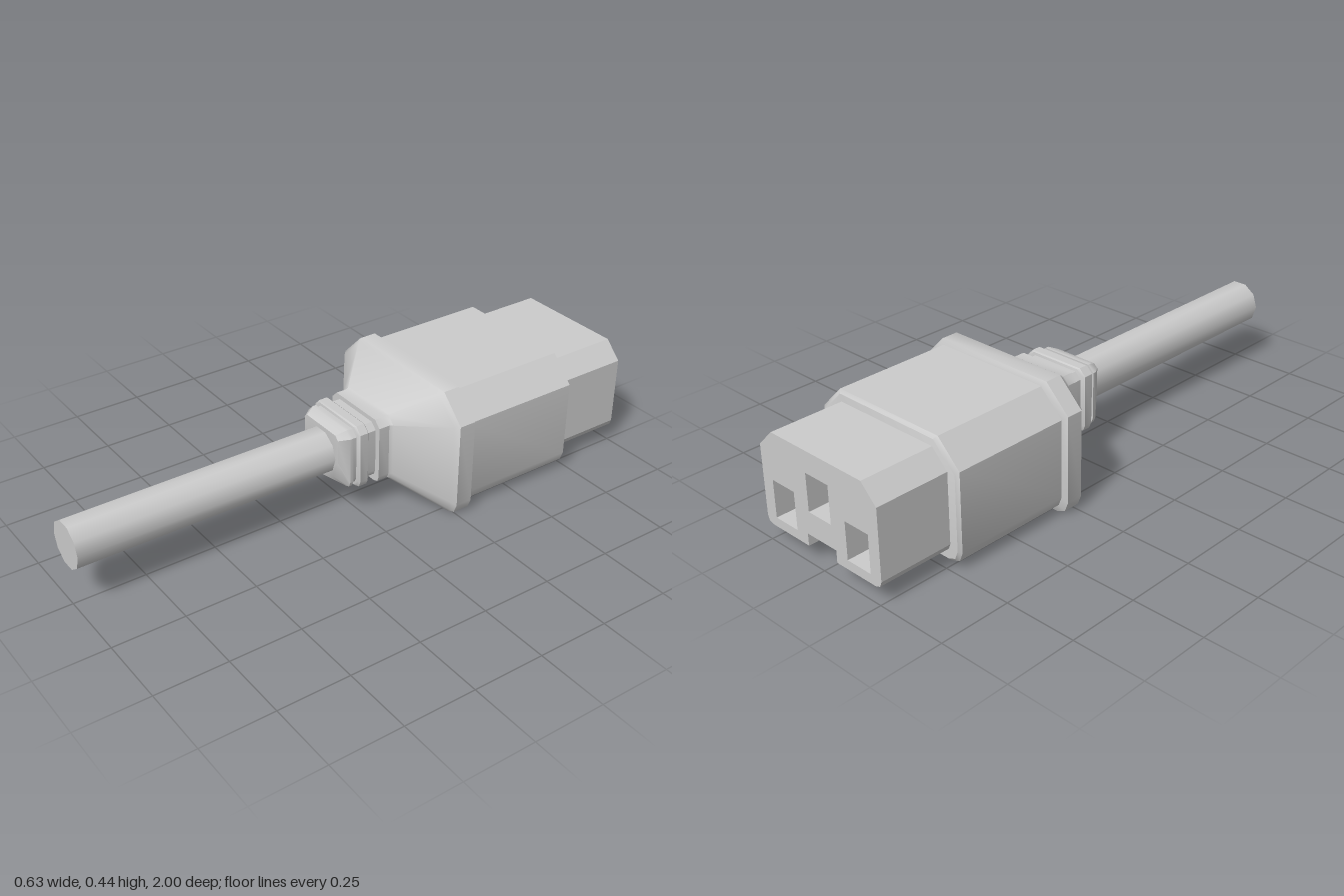
import * as THREE from 'three';
import { toCreasedNormals } from 'three/addons/utils/BufferGeometryUtils.js';

const rubber = new THREE.MeshStandardMaterial({ color: 0xcccccc });
rubber.name = 'light grey rubber';

// Mirror the right half of an outline, running from bottom to top
function mirrored(half) {
  return [...half, ...half.map(([x, y]) => [-x, y]).reverse()];
}

// Box outline with bevelled top corners and rounded bottom corners
function section(z, hw, y0, y1, ct, cb) {
  const pts = mirrored([
    [hw - cb, y0], [hw - 0.28 * cb, y0 + 0.28 * cb], [hw, y0 + cb],
    [hw, y1 - ct], [hw - ct, y1],
  ]);
  return pts.map(([x, y]) => [x, y, z]);
}

// Skin over outlines ordered by rising z, closed at both ends
function loft(sections) {
  const pos = [];
  const tri = (a, b, c) => pos.push(...a, ...b, ...c);
  const n = sections[0].length;
  for (let i = 0; i < sections.length - 1; i++) {
    const s = sections[i], t = sections[i + 1];
    for (let k = 0; k < n; k++) {
      const m = (k + 1) % n;
      tri(s[k], s[m], t[m]);
      tri(s[k], t[m], t[k]);
    }
  }
  const first = sections[0], last = sections[sections.length - 1];
  for (let k = 1; k < n - 1; k++) {
    tri(first[0], first[k + 1], first[k]);
    tri(last[0], last[k], last[k + 1]);
  }
  const geo = new THREE.BufferGeometry();
  geo.setAttribute('position', new THREE.Float32BufferAttribute(pos, 3));
  return toCreasedNormals(geo, 0.65);
}

function rectPath(x, y, w, h) {
  return new THREE.Path([
    new THREE.Vector2(x - w / 2, y - h / 2), new THREE.Vector2(x - w / 2, y + h / 2),
    new THREE.Vector2(x + w / 2, y + h / 2), new THREE.Vector2(x + w / 2, y - h / 2),
  ]);
}

export function createModel() {
  const model = new THREE.Group();
  const add = (name, geo, parent = model) => {
    const mesh = new THREE.Mesh(geo, rubber);
    mesh.name = name;
    parent.add(mesh);
    return mesh;
  };

  // Grip body
  add('gripBody', loft([
    section(-0.74, 0.29, 0.03, 0.41, 0.085, 0.04),
    section(-0.73, 0.3, 0.02, 0.42, 0.085, 0.045),
    section(-0.29, 0.3, 0.02, 0.42, 0.085, 0.045),
  ]));

  // Flange and tapered shoulder
  add('shoulder', loft([
    section(-0.31, 0.3, 0.018, 0.42, 0.085, 0.045),
    section(-0.3, 0.317, 0, 0.436, 0.089, 0.046),
    section(-0.24, 0.317, 0, 0.436, 0.089, 0.046),
    section(-0.225, 0.302, 0.012, 0.426, 0.083, 0.044),
    section(-0.105, 0.14, 0.1, 0.342, 0.028, 0.028),
    section(-0.095, 0.132, 0.103, 0.338, 0.024, 0.026),
    section(-0.055, 0.132, 0.103, 0.338, 0.024, 0.026),
  ]));

  // Strain relief: core, ring and end collar
  const relief = new THREE.Group();
  relief.name = 'strainRelief';
  model.add(relief);
  add('reliefCore', loft([
    section(-0.06, 0.112, 0.122, 0.322, 0.022, 0.024),
    section(0.05, 0.112, 0.122, 0.322, 0.022, 0.024),
  ]), relief);
  add('reliefRing', loft([
    section(-0.018, 0.122, 0.112, 0.332, 0.024, 0.026),
    section(-0.013, 0.128, 0.107, 0.336, 0.024, 0.026),
    section(0.017, 0.128, 0.107, 0.336, 0.024, 0.026),
    section(0.022, 0.122, 0.112, 0.332, 0.024, 0.026),
  ]), relief);
  const collarEnd = mirrored([[0, 0.125], [0.065, 0.15], [0.095, 0.215], [0.095, 0.299], [0.081, 0.313]]);
  add('endCollar', loft([
    section(0.038, 0.118, 0.114, 0.328, 0.023, 0.025),
    section(0.05, 0.118, 0.114, 0.328, 0.023, 0.025),
    collarEnd.map(([x, y]) => [x, y, 0.083]),
  ]), relief);

  // Ten-sided cable
  const cable = new THREE.CylinderGeometry(0.0805, 0.0805, 0.95, 10);
  cable.rotateY(Math.PI / 10 * 5).rotateX(Math.PI / 2).translate(0, 0.22, 0.525);
  add('cable', toCreasedNormals(cable, 0.65));

  // Socket nose with a key notch underneath and three contact slots
  const outline = mirrored([
    [0.065, 0.1], [0.065, 0.058], [0.235, 0.058], [0.253, 0.065], [0.26, 0.083],
    [0.26, 0.325], [0.2, 0.385],
  ]).map(([x, y]) => new THREE.Vector2(x, y));
  const slotDepth = 0.13;
  const front = new THREE.Shape(outline);
  for (const [x, y] of [[-0.165, 0.155], [0, 0.245], [0.165, 0.155]]) {
    front.holes.push(rectPath(x, y, 0.1, 0.13));
  }
  const nose = new THREE.Group();
  nose.name = 'socketNose';
  model.add(nose);
  add('slottedFace', new THREE.ExtrudeGeometry(front, { depth: slotDepth, bevelEnabled: false }), nose)
    .position.z = -1;
  add('noseBase', new THREE.ExtrudeGeometry(new THREE.Shape(outline), { depth: 0.28 - slotDepth, bevelEnabled: false }), nose)
    .position.z = -1 + slotDepth;

  return model;
}
